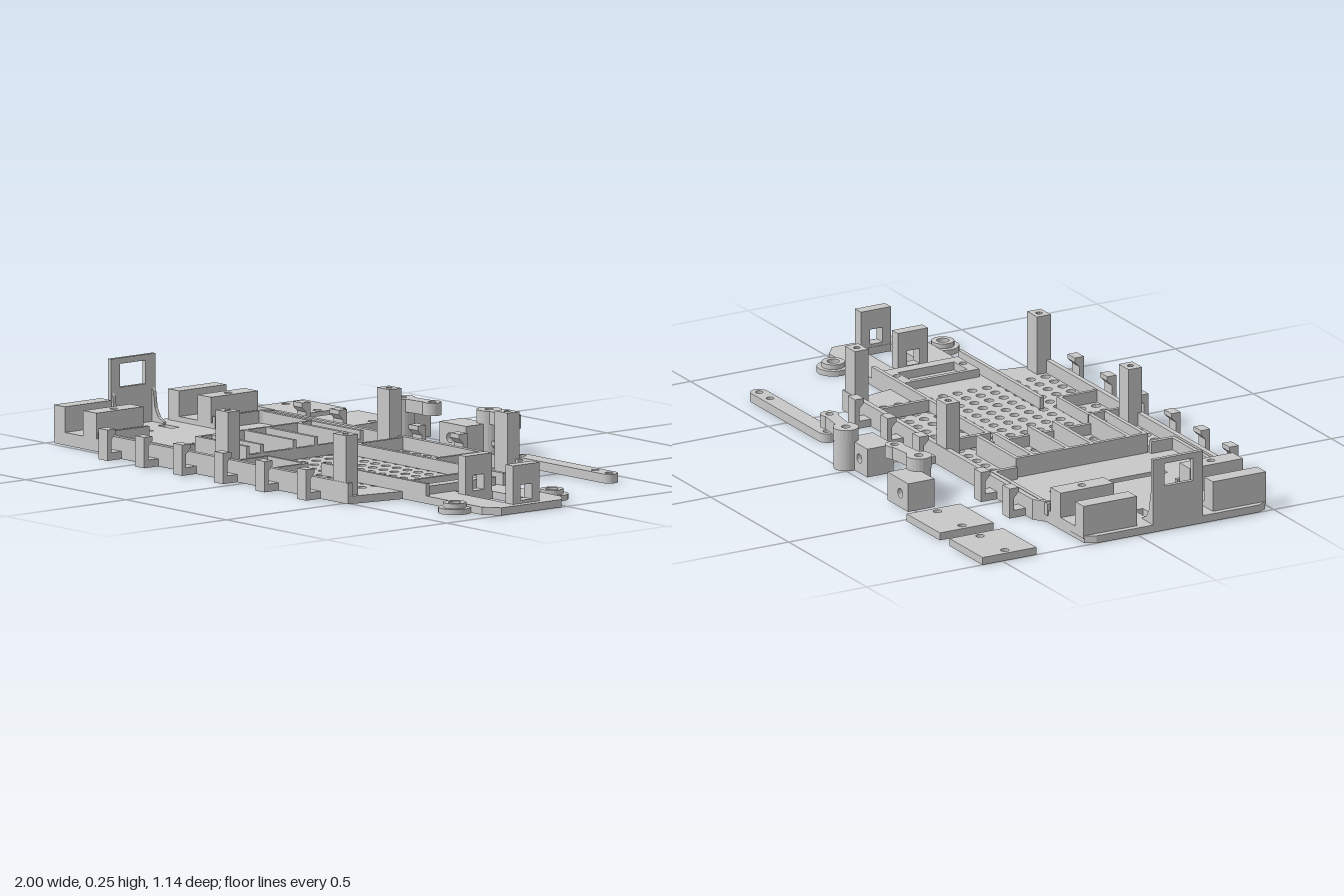
import * as THREE from 'three';

export function createModel() {
  const root = new THREE.Group();
  root.name = 'chassisKit';
  const grey = new THREE.MeshStandardMaterial({ color: 0xc8c8c8 });
  grey.name = 'grey plastic';
  const MID = 0.147; // chassis centreline in z
  const T = 0.025;   // floor thickness

  const add = (name, geo) => {
    const m = new THREE.Mesh(geo, grey);
    m.name = name;
    root.add(m);
    return m;
  };
  // box from min / max corners
  const box = (name, x0, x1, y0, y1, z0, z1) => {
    const g = new THREE.BoxGeometry(x1 - x0, y1 - y0, z1 - z0);
    g.translate((x0 + x1) / 2, (y0 + y1) / 2, (z0 + z1) / 2);
    return add(name, g);
  };
  // box and its mirror image across the chassis centreline
  const pair = (name, x0, x1, y0, y1, z0, z1) => {
    box(name + 'Right', x0, x1, y0, y1, z0, z1);
    box(name + 'Left', x0, x1, y0, y1, 2 * MID - z1, 2 * MID - z0);
  };
  const rect = (a0, a1, b0, b1) => [[a0, b0], [a1, b0], [a1, b1], [a0, b1]];
  const circle = (a, b, r, n = 12) => Array.from({ length: n }, (_, i) => {
    const t = (i / n) * Math.PI * 2;
    return [a + r * Math.cos(t), b + r * Math.sin(t)];
  });
  // points wound one way: outlines anticlockwise, holes clockwise
  const wound = (pts, clockwise) => {
    const v = pts.map(([a, b]) => new THREE.Vector2(a, b));
    return THREE.ShapeUtils.isClockWise(v) === clockwise ? v : v.reverse();
  };
  const extrude = (pts, holes, depth) => {
    const s = new THREE.Shape(wound(pts, false));
    s.holes = holes.map(h => new THREE.Path(wound(h, true)));
    return new THREE.ExtrudeGeometry(s, { depth, bevelEnabled: false });
  };
  // outline in (x, z), raised from y0 to y1
  const slab = (name, pts, holes, y0, y1) => {
    const flip = list => list.map(([x, z]) => [x, -z]);
    const g = extrude(flip(pts), holes.map(flip), y1 - y0);
    g.rotateX(-Math.PI / 2).translate(0, y0, 0);
    return add(name, g);
  };
  // outline in (z, y), running from x0 to x1
  const across = (name, pts, holes, x0, x1) => {
    const flip = list => list.map(([z, y]) => [-z, y]);
    const g = extrude(flip(pts), holes.map(flip), x1 - x0);
    g.rotateY(Math.PI / 2).translate(x0, 0, 0);
    return add(name, g);
  };
  // link outline: two round ends joined by a neck of half width w
  const link = (xa, za, ra, xb, zb, rb, w) => {
    const dir = Math.atan2(zb - za, xb - xa), n = 18;
    const end = (x, z, r, facing) => Array.from({ length: n + 1 }, (_, i) => {
      const gap = Math.asin(w / r), t = facing + gap + (2 * Math.PI - 2 * gap) * i / n;
      return [x + r * Math.cos(t), z + r * Math.sin(t)];
    });
    return [...end(xa, za, ra, dir), ...end(xb, zb, rb, dir + Math.PI)];
  };

  // perforated floor
  const half = [[-1, 0.3], [-0.98, 0.333], [-0.74, 0.335], [-0.7, 0.363], [0.52, 0.363],
    [0.555, 0.165], [0.95, 0.165], [1, 0.125]];
  const outline = [...half.map(([x, d]) => [x, MID - d]), ...half.map(([x, d]) => [x, MID + d]).reverse()];
  const floorHoles = [
    rect(-0.583, -0.552, -0.07, 0.35),
    rect(-0.915, -0.845, 0.075, 0.107), rect(-0.915, -0.845, 0.18, 0.212),
    rect(0.66, 0.688, 0.11, 0.18), rect(0.737, 0.935, 0.09, 0.2),
  ];
  for (let i = 0; i < 15; i++) for (let j = 0; j < 13; j++) {
    floorHoles.push(circle(-0.343 + 0.054 * i, MID + 0.0541 * (j - 6), 0.0155, 12));
  }
  slab('floor', outline, floorHoles, 0, T);

  // side walls with angled ends
  for (const s of [-1, 1]) {
    slab('sideWall', [[-0.74, MID + s * 0.335], [-0.7, MID + s * 0.363], [0.52, MID + s * 0.363],
      [0.52, MID + s * 0.345], [-0.7, MID + s * 0.345], [-0.74, MID + s * 0.318]], [], 0, 0.068);
  }

  // hooked clips outside the walls
  const clips = s => [[0.355, 0], [0.422, 0], [0.422, 0.1], [0.388, 0.1], [0.388, 0.085], [0.405, 0.068],
    [0.405, T], [0.355, T]].map(([d, y]) => [MID + s * d, y]);
  for (const x of [-0.632, -0.449, -0.055, 0.151, 0.359]) across('clipRight', clips(-1), [], x - 0.023, x + 0.023);
  for (const x of [-0.632, -0.449, -0.26, -0.055, 0.151, 0.359]) across('clipLeft', clips(1), [], x - 0.023, x + 0.023);

  // tall body posts with a screw hole in the top
  for (const [x0, x1] of [[-0.143, -0.08], [0.443, 0.507]]) for (const s of [-1, 1]) {
    const zc = MID + s * 0.336;
    slab('bodyPost', rect(x0, x1, zc - 0.025, zc + 0.025), [circle((x0 + x1) / 2, zc, 0.011, 10)], T, 0.22);
  }

  // stepped blocks at the rear corners
  for (const s of [-1, 1]) {
    const a = MID + s * 0.14, b = MID + s * 0.336, z0 = Math.min(a, b), z1 = Math.max(a, b);
    box('mountBase', -0.98, -0.745, T - 0.01, 0.042, z0, z1);
    box('mountBlock', -0.98, -0.925, 0.03, 0.125, z0, z1);
    slab('mountBlock', rect(-0.833, -0.767, z0, z1), [circle(-0.798, (z0 + z1) / 2, 0.013)], 0.03, 0.125);
  }

  // upright end plate with window and curved gussets
  across('endPlate', rect(0.055, 0.24, 0, 0.245), [rect(0.097, 0.202, 0.15, 0.226)], -1, -0.986);
  for (const z of [0.057, 0.226]) {
    const g = extrude([[-0.99, 0.01], [-0.93, 0.01], [-0.93, 0.03], [-0.955, 0.042], [-0.972, 0.07],
      [-0.98, 0.125], [-0.99, 0.14]], [], 0.012);
    add('gusset', g.translate(0, 0, z));
  }

  // battery bay walls and corner stubs
  pair('bayWall', -0.75, -0.385, T, 0.065, -0.192, -0.178);
  pair('bayCorner', -0.4, -0.385, T, 0.065, -0.192, -0.1);
  pair('bayRearStub', -0.755, -0.742, T, 0.065, -0.192, 0.01);

  // divided tray
  pair('trayEnd', -0.385, -0.13, T, 0.09, -0.097, -0.083);
  for (const z of [-0.03, 0.1, 0.19, 0.325]) box('trayDivider', -0.385, -0.13, T, 0.09, z - 0.007, z + 0.007);
  box('trayRearRail', -0.385, -0.372, T, 0.09, -0.097, 0.391);
  box('trayFrontRail', -0.144, -0.13, T, 0.062, -0.097, 0.391);

  // long rails and the two electronics pockets
  box('railRight', -0.065, 0.675, T, 0.065, -0.02, -0.006);
  box('railLeft', 0.15, 0.675, T, 0.065, 0.3, 0.314);
  box('pocketWall', -0.068, -0.054, T, 0.065, -0.2, -0.006);
  box('pocketWall', 0.305, 0.319, T, 0.065, -0.2, -0.006);
  box('smallPocketWall', -0.07, -0.058, T, 0.065, 0.35, 0.495);
  box('smallPocketWall', 0.118, 0.13, T, 0.065, 0.35, 0.495);
  box('smallPocketWall', -0.07, 0.13, T, 0.065, 0.35, 0.362);

  // steering bay frame
  box('steeringFrame', 0.517, 0.532, T, 0.052, 0.035, 0.26);
  box('steeringFrame', 0.615, 0.655, T, 0.052, 0.035, 0.26);
  for (const s of [-1, 1]) {
    const zc = MID + s * 0.122;
    slab('steeringTab', rect(0.517, 0.655, zc - 0.018, zc + 0.018), [circle(0.59, zc, 0.012)], T, 0.052);
  }

  // slotted servo holders at the nose
  for (const [x0, x1] of [[0.7, 0.737], [0.937, 0.975]]) {
    across('servoHolder', rect(0.092, 0.203, T - 0.01, 0.15), [rect(0.125, 0.172, 0.035, 0.085)], x0, x1);
  }

  // guide rings beside the nose
  for (const s of [-1, 1]) {
    const zc = MID + s * 0.202;
    slab('guideRing', circle(0.859, zc, 0.053, 28), [circle(0.859, zc, 0.02, 16)], 0, 0.018);
    slab('guideCollar', circle(0.859, zc, 0.037, 24), [circle(0.859, zc, 0.02, 16)], 0.018, 0.034);
  }

  // loose square covers
  for (const x of [-1, -0.726]) {
    slab('coverPlate', rect(x, x + 0.213, -0.573, -0.375),
      [circle(x + 0.028, -0.475, 0.014), circle(x + 0.186, -0.475, 0.014)], 0, T);
  }

  // loose steering knuckles: block, pillar and necked arm
  const knuckle = (bx0, bx1, bz0, bz1, px, pz, ax, az) => {
    const g = extrude(rect(bx0, bx1, 0, 0.095), [circle((bx0 + bx1) / 2 - 0.015, 0.048, 0.016)], bz1 - bz0);
    add('knuckleBlock', g.translate(0, 0, bz0));
    slab('knucklePillar', circle(px, pz, 0.039, 24), [circle(px, pz, 0.014)], 0, 0.097);
    slab('knuckleArm', link(px, pz, 0.041, ax, az, 0.03, 0.022),
      [circle(px, pz, 0.014), circle(ax, az, 0.013)], 0.096, 0.138);
  };
  knuckle(-0.438, -0.305, -0.524, -0.427, -0.32, -0.417, -0.19, -0.432);
  knuckle(-0.084, 0.049, -0.471, -0.374, 0.035, -0.482, 0.167, -0.466);

  // loose tie rod
  slab('tieRod', link(0.294, -0.403, 0.029, 0.728, -0.403, 0.029, 0.029),
    [0.294, 0.658, 0.728].map(x => circle(x, -0.403, 0.013)), 0, 0.03);

  return root;
}
